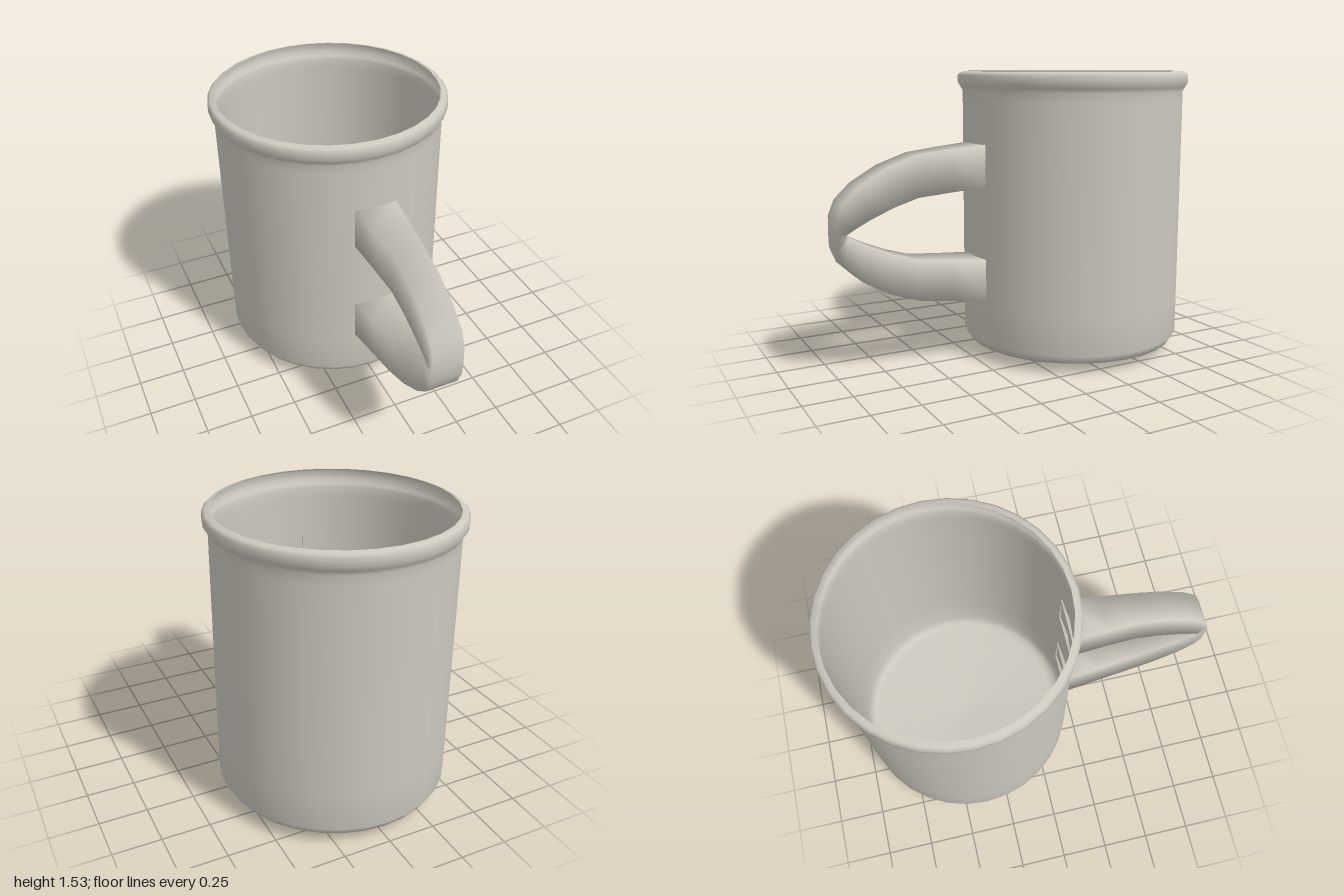
import * as THREE from 'three';

const AXIS_Z = -0.373; // centre line of the cup
const MID_Y = 0.75;    // the handle mirrors about this height

// Thin-walled cup: shallow conical base, straight wall, rolled rim
function makeCup(material) {
  const profile = [
    [0, 0], [0.07, 0.001], [0.54, 0.051], [0.573, 0.055], [0.602, 0.1],
    [0.603, 0.3], [0.603, 1.38], [0.603, 1.43], [0.613, 1.45],
    [0.629, 1.475], [0.629, 1.515], [0.615, 1.528], [0.59, 1.535],
  ].map(([r, y]) => new THREE.Vector2(r, y));
  const cup = new THREE.Mesh(new THREE.LatheGeometry(profile, 32), material);
  cup.name = 'cup';
  cup.position.z = AXIS_Z;
  return cup;
}

// Handle: rectangular sections swept from wall to wall, pinched at the front
function makeHandle(material) {
  // half width, outer z and y, inner z and y
  const upper = [
    [0.115, 0.212, 1.162, 0.212, 0.944],
    [0.098, 0.4, 1.145, 0.4, 0.927],
    [0.085, 0.58, 1.125, 0.58, 0.91],
    [0.083, 0.74, 1.07, 0.71, 0.87],
    [0.083, 0.88, 0.99, 0.83, 0.82],
    [0.083, 0.965, 0.91, 0.91, 0.78],
    [0.083, 0.998, 0.83, 0.945, 0.76],
  ];
  const lower = upper.map(([w, oz, oy, iz, iy]) =>
    [w, oz, 2 * MID_Y - oy, iz, 2 * MID_Y - iy]).reverse();
  const sections = [...upper, [0.083, 1, MID_Y, 0.96, MID_Y], ...lower];

  const positions = [];
  const index = [];
  sections.forEach(([w, oz, oy, iz, iy], i) => {
    positions.push(w, oy, oz, -w, oy, oz, -w, iy, iz, w, iy, iz);
    if (i === sections.length - 1) return;
    for (let k = 0; k < 4; k++) {
      const a = i * 4 + k;
      const b = i * 4 + (k + 1) % 4;
      index.push(a, b, b + 4, a, b + 4, a + 4);
    }
  });
  const geometry = new THREE.BufferGeometry();
  geometry.setAttribute('position', new THREE.Float32BufferAttribute(positions, 3));
  geometry.setIndex(index);
  geometry.computeVertexNormals();
  const handle = new THREE.Mesh(geometry, material);
  handle.name = 'handle';
  return handle;
}

export function createModel() {
  const enamel = new THREE.MeshStandardMaterial({ color: 0xccc8be, side: THREE.DoubleSide });
  enamel.name = 'warm grey enamel';
  const mug = new THREE.Group();
  mug.name = 'mug';
  mug.add(makeCup(enamel), makeHandle(enamel));
  return mug;
}
